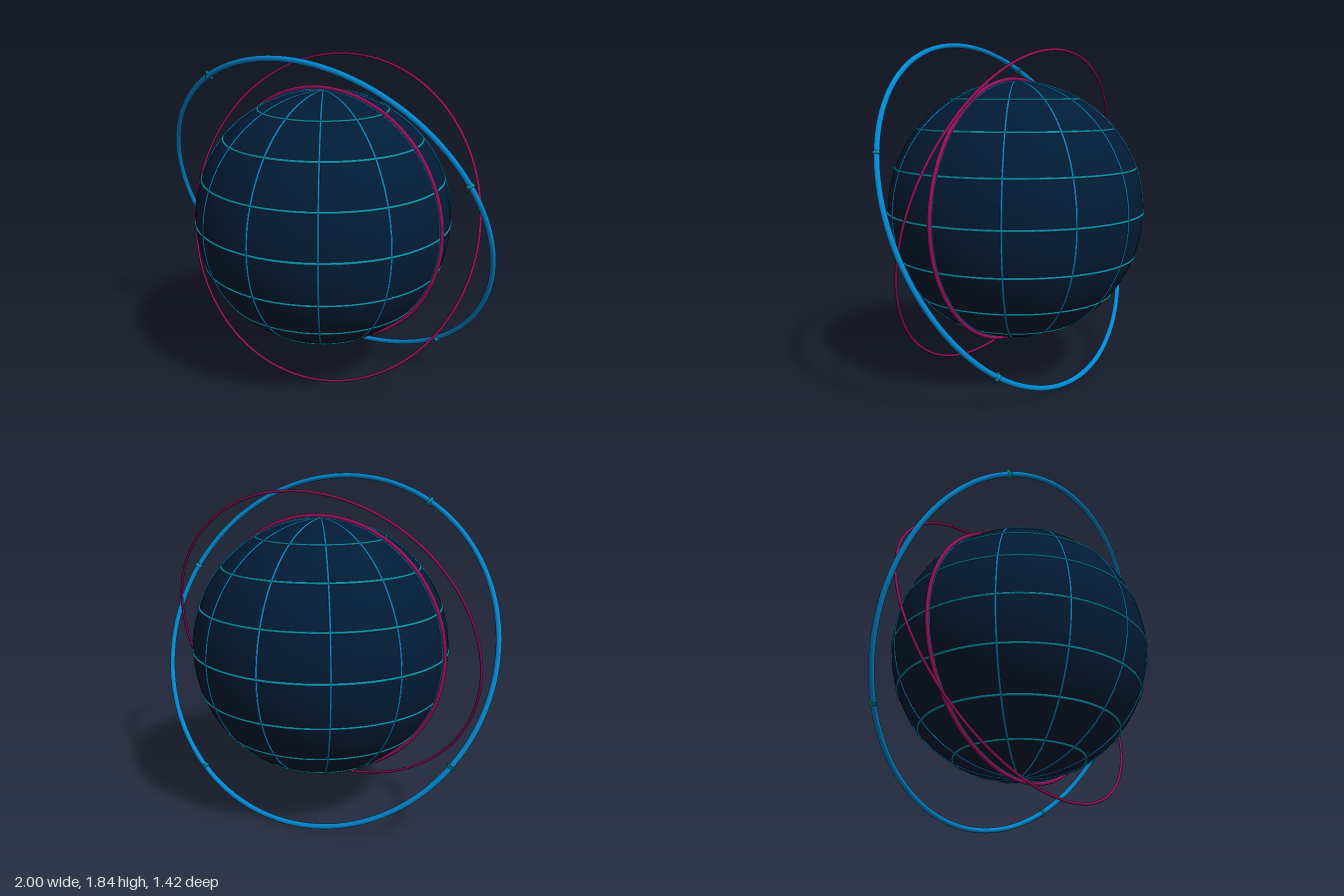
import * as THREE from 'three';

const rad = THREE.MathUtils.degToRad;

export function createModel() {
  const model = new THREE.Group();
  model.name = 'globeWithOrbits';

  const mat = (name, color) => {
    const m = new THREE.MeshStandardMaterial({ color });
    m.name = name;
    return m;
  };
  const navy = mat('deep navy', 0x021c36);
  const teal = mat('teal', 0x0894ae);
  const lineBlue = mat('line blue', 0x0a8cd2);
  const ringBlue = mat('ring blue', 0x0288d1);
  const crimson = mat('crimson', 0x94125c);

  // Everything shares the globe's centre
  const globe = new THREE.Group();
  globe.name = 'globe';
  globe.position.y = 0.922;
  model.add(globe);

  const add = (parent, name, geometry, material) => {
    const mesh = new THREE.Mesh(geometry, material);
    mesh.name = name;
    parent.add(mesh);
    return mesh;
  };
  const ring = (parent, name, radius, tube, material, sides = 8, segments = 128) =>
    add(parent, name, new THREE.TorusGeometry(radius, tube, sides, segments), material);

  // Solid ball
  add(globe, 'ball', new THREE.SphereGeometry(0.702, 64, 48), navy);

  // Latitude lines every 20 degrees
  const R = 0.702;
  for (let lat = -60; lat <= 60; lat += 20) {
    const line = ring(globe, 'latitudeLine', R * Math.cos(rad(lat)), 0.0065, teal);
    line.rotation.x = Math.PI / 2;
    line.position.y = R * Math.sin(rad(lat));
  }

  // Longitude lines, six full circles
  for (let i = 0; i < 6; i++) {
    ring(globe, 'longitudeLine', R, 0.0055, lineBlue).rotation.y = rad(i * 30);
  }

  // Upright ring hugging the ball, and the thin tilted orbit
  ring(globe, 'meridianRing', 0.716, 0.011, crimson);
  ring(globe, 'thinOrbit', 0.908, 0.0075, crimson).rotation.x = rad(-18);

  // Wide tilted orbit with small arrowheads threaded on it
  const orbit = new THREE.Group();
  orbit.name = 'wideOrbit';
  orbit.rotation.x = rad(23);
  globe.add(orbit);
  ring(orbit, 'orbitTube', 0.985, 0.015, ringBlue, 12, 160);
  for (const deg of [24.5, 121.5, 213.5, 308]) {
    const a = rad(deg);
    const arrow = add(orbit, 'arrowhead', new THREE.ConeGeometry(0.028, 0.055, 4), teal);
    arrow.position.set(0.985 * Math.cos(a), 0.985 * Math.sin(a), 0);
    arrow.rotation.z = a;
  }

  return model;
}
